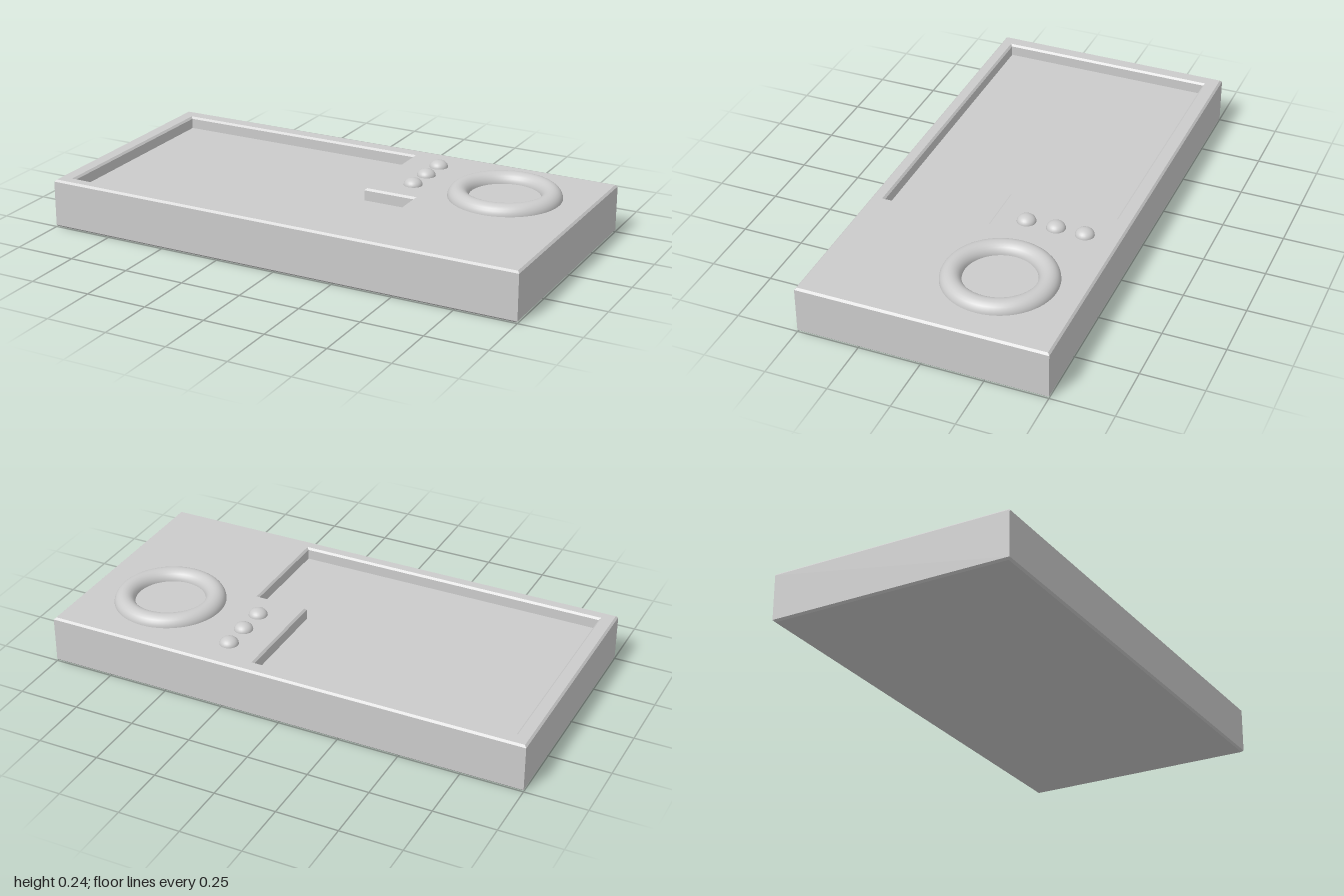
import * as THREE from 'three';

const material = new THREE.MeshStandardMaterial({ color: 0xcccccc });
const BEVEL = 0.008, HEIGHT = 0.2, FLOOR = 0.15;

function add(group, name, geometry, x = 0, y = 0, z = 0) {
  const mesh = new THREE.Mesh(geometry, material);
  mesh.name = name;
  mesh.position.set(x, y, z);
  group.add(mesh);
  return mesh;
}

// Outlines are given as [x, z]; the extrusion is turned to rise along y
const outline = (points) => points.map(([x, z]) => new THREE.Vector2(x, -z));
const extrudeUp = (shape, options) =>
  new THREE.ExtrudeGeometry(shape, options).rotateX(-Math.PI / 2);

export function createModel() {
  const group = new THREE.Group();
  group.name = 'controlPanel';

  // Stepped outline of the recessed screen
  const recess = outline([
    [-0.945, -0.442], [0.143, -0.442], [0.143, 0.0],
    [0.358, 0.0], [0.358, 0.455], [-0.945, 0.455],
  ]);

  // Case with bevelled edges and a recess opening
  const w = 1 - BEVEL, d = 0.5 - BEVEL;
  const caseShape = new THREE.Shape(outline([[-w, d], [w, d], [w, -d], [-w, -d]]));
  caseShape.holes.push(new THREE.Path(recess));
  add(group, 'case', extrudeUp(caseShape, {
    depth: HEIGHT - 2 * BEVEL, bevelEnabled: true,
    bevelSize: BEVEL, bevelThickness: BEVEL, bevelSegments: 1,
  }), 0, BEVEL, 0);

  // Floor of the recess, closing the case underneath
  add(group, 'screen', extrudeUp(new THREE.Shape(recess), {
    depth: FLOOR, bevelEnabled: false,
  }));

  // Ring dial, half sunk into the top
  const ring = new THREE.TorusGeometry(0.183, 0.042, 24, 64).rotateX(Math.PI / 2);
  add(group, 'dialRing', ring, 0.658, 0.198, -0.17);

  // Row of domed buttons
  for (const z of [-0.36, -0.243, -0.122]) {
    const button = add(group, 'button', new THREE.SphereGeometry(0.038, 24, 16), 0.285, HEIGHT, z);
    button.scale.y = 0.75;
  }

  return group;
}
